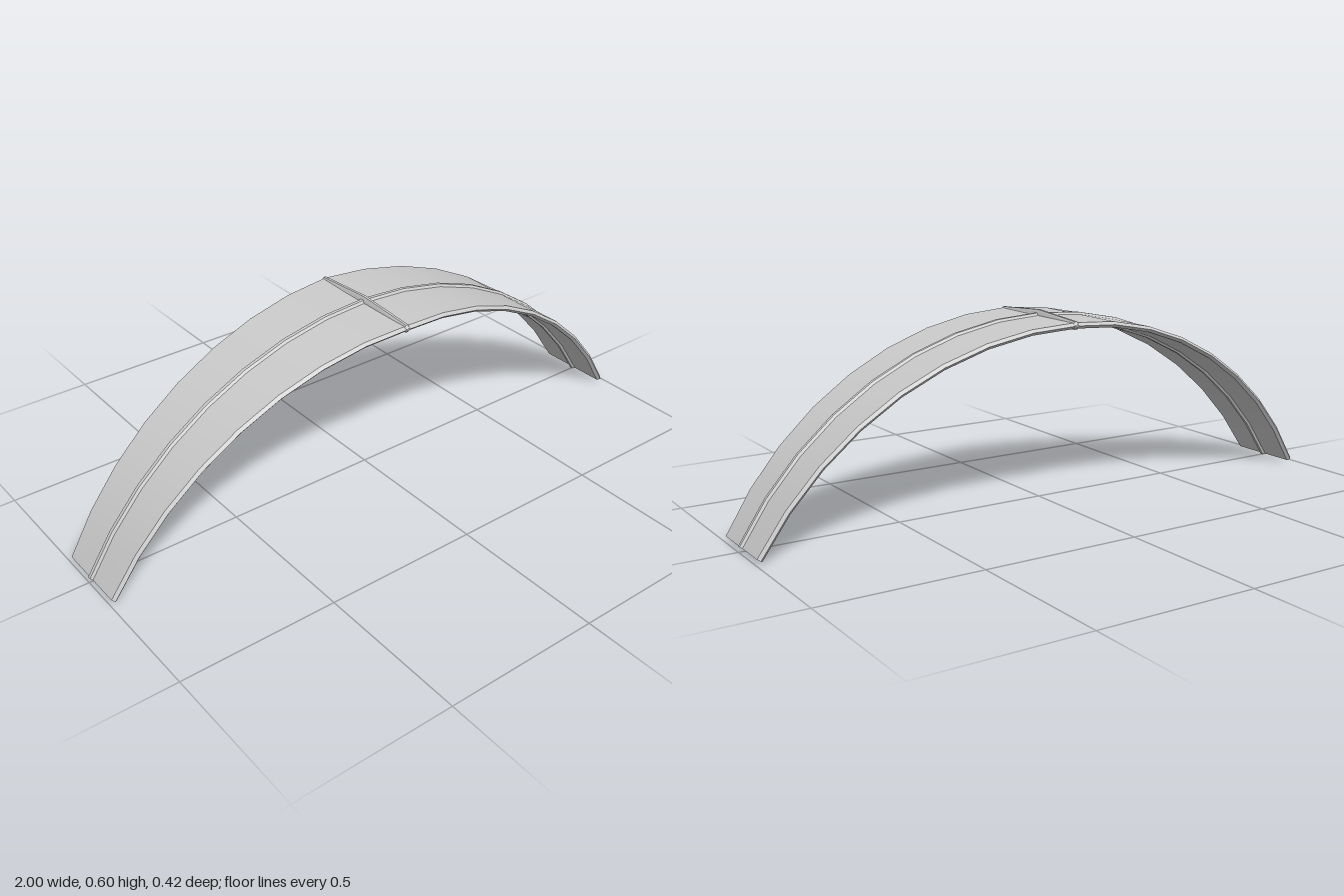
import * as THREE from 'three';
import { toCreasedNormals } from 'three/addons/utils/BufferGeometryUtils.js';

const R = 1.136;               // radius of the arch centre line
const TOP = 0.579;             // height of the centre line at the crown
const HALF = THREE.MathUtils.degToRad(60.1);
const STEPS = 16;

// Skin a list of rings (each counter-clockwise about the direction of travel) and cap both ends
function loft(rings, crease = 0.5) {
  const n = rings[0].length;
  const pos = [];
  const tri = (...pts) => pts.forEach((p) => pos.push(p.x, p.y, p.z));
  for (let i = 0; i < rings.length - 1; i++) {
    for (let j = 0; j < n; j++) {
      const k = (j + 1) % n;
      const a = rings[i][j], b = rings[i][k], c = rings[i + 1][k], d = rings[i + 1][j];
      tri(a, b, c);
      tri(a, c, d);
    }
  }
  const first = rings[0], last = rings[rings.length - 1];
  for (let j = 1; j < n - 1; j++) {
    tri(first[0], first[j + 1], first[j]);
    tri(last[0], last[j], last[j + 1]);
  }
  const geo = new THREE.BufferGeometry();
  geo.setAttribute('position', new THREE.Float32BufferAttribute(pos, 3));
  return toCreasedNormals(geo, crease);
}

// Sweep a section of [radial, z] points along the arch; section(t) has t = 0 at the crown, 1 at the feet
function sweepArch(section) {
  const rings = [];
  for (let i = 0; i <= STEPS; i++) {
    const s = (i / STEPS) * 2 - 1;
    const a = s * HALF;
    rings.push(section(Math.abs(s)).map(([u, z]) => new THREE.Vector3(
      (R + u) * Math.sin(a), TOP - R + (R + u) * Math.cos(a), z)));
  }
  return loft(rings);
}

function ellipse(ru, rv, sides = 8) {
  return Array.from({ length: sides }, (_, j) => {
    const a = ((j + 0.5) / sides) * Math.PI * 2;
    return [ru * Math.cos(a), rv * Math.sin(a)];
  });
}

export function createModel() {
  const model = new THREE.Group();
  const material = new THREE.MeshStandardMaterial({ color: 0xcccccc });
  const add = (name, geo) => {
    const mesh = new THREE.Mesh(geo, material);
    mesh.name = name;
    model.add(mesh);
  };

  // Curved panel with bevelled edges, narrowing towards both feet
  const h = 0.009, bevel = 0.009;
  add('archPanel', sweepArch((t) => {
    const w = 0.21 - 0.08 * t;
    return [[h, -w + bevel], [h, w - bevel], [0, w], [-h, w - bevel], [-h, -w + bevel], [0, -w]];
  }));

  // Rib along the middle of the arch, standing out above and below
  add('centreRib', sweepArch(() => ellipse(0.0175, 0.0145)));

  // Rib across the crown, thickest in the middle
  const crossRings = [[-0.211, 0.004], [-0.203, 0.012], [0, 0.026], [0.203, 0.012], [0.211, 0.004]]
    .map(([z, r]) => ellipse(Math.min(0.011, r), r * 1.08)
      .map(([x, y]) => new THREE.Vector3(x, TOP + y, z)));
  add('crossRib', loft(crossRings));

  return model;
}
